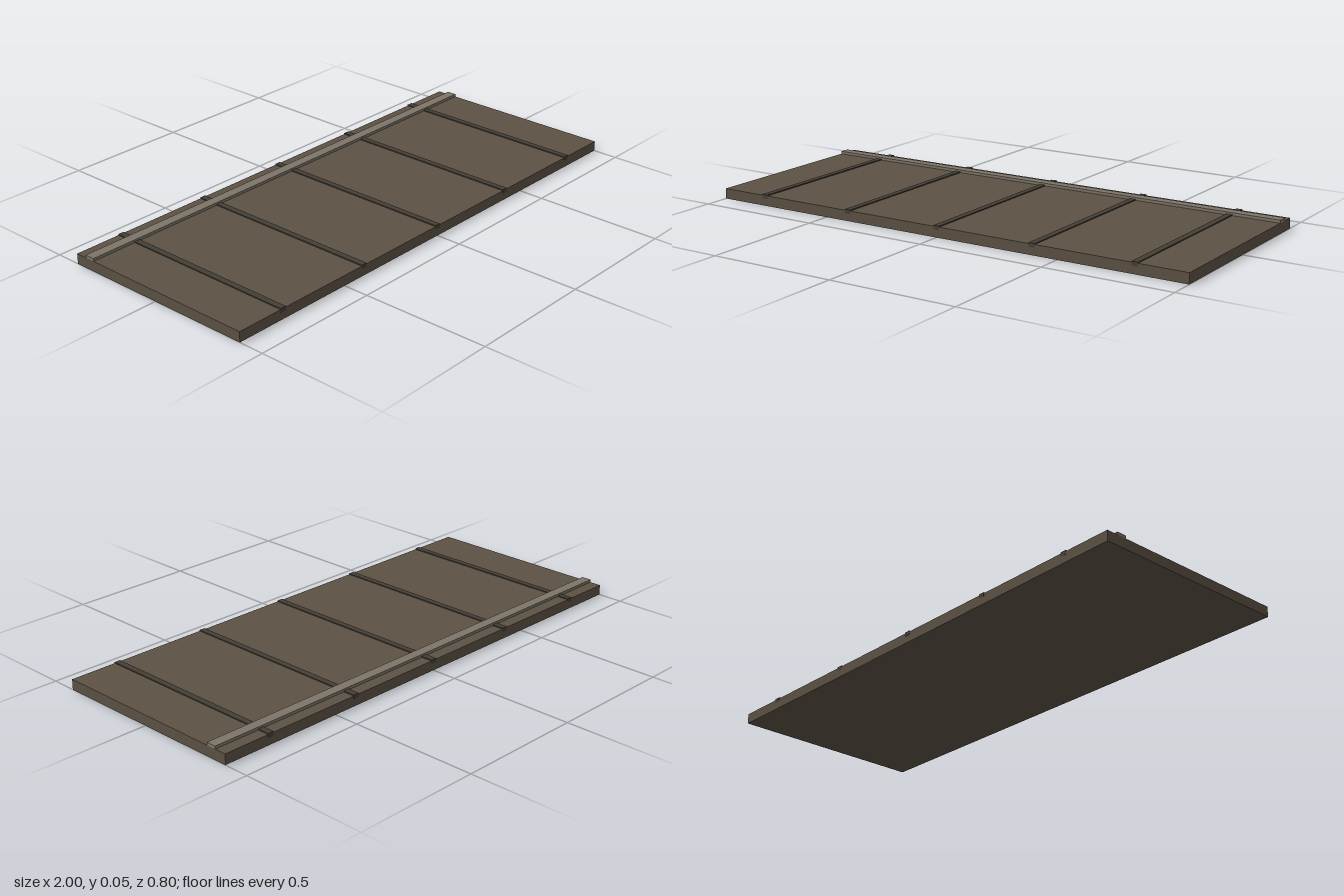
import * as THREE from 'three';

export function createModel() {
  const model = new THREE.Group();

  const addBox = (name, color, size, position) => {
    const mesh = new THREE.Mesh(
      new THREE.BoxGeometry(...size),
      new THREE.MeshStandardMaterial({ color })
    );
    mesh.name = name;
    mesh.position.set(...position);
    model.add(mesh);
  };

  // Flat deck slab
  addBox('deck', 0x5c5244, [2, 0.04, 0.8], [0, 0.02, 0]);

  // Dark seam strips across the deck, let into its top, ends just proud of the edges
  for (let i = -2; i <= 2; i++) {
    addBox('seamStrip', 0x443f36, [0.024, 0.016, 0.801], [i * 0.4, 0.036, 0]);
  }

  // Pale rail running along the back
  addBox('backRail', 0x7d7568, [2, 0.012, 0.04], [0, 0.045, -0.333]);

  return model;
}
